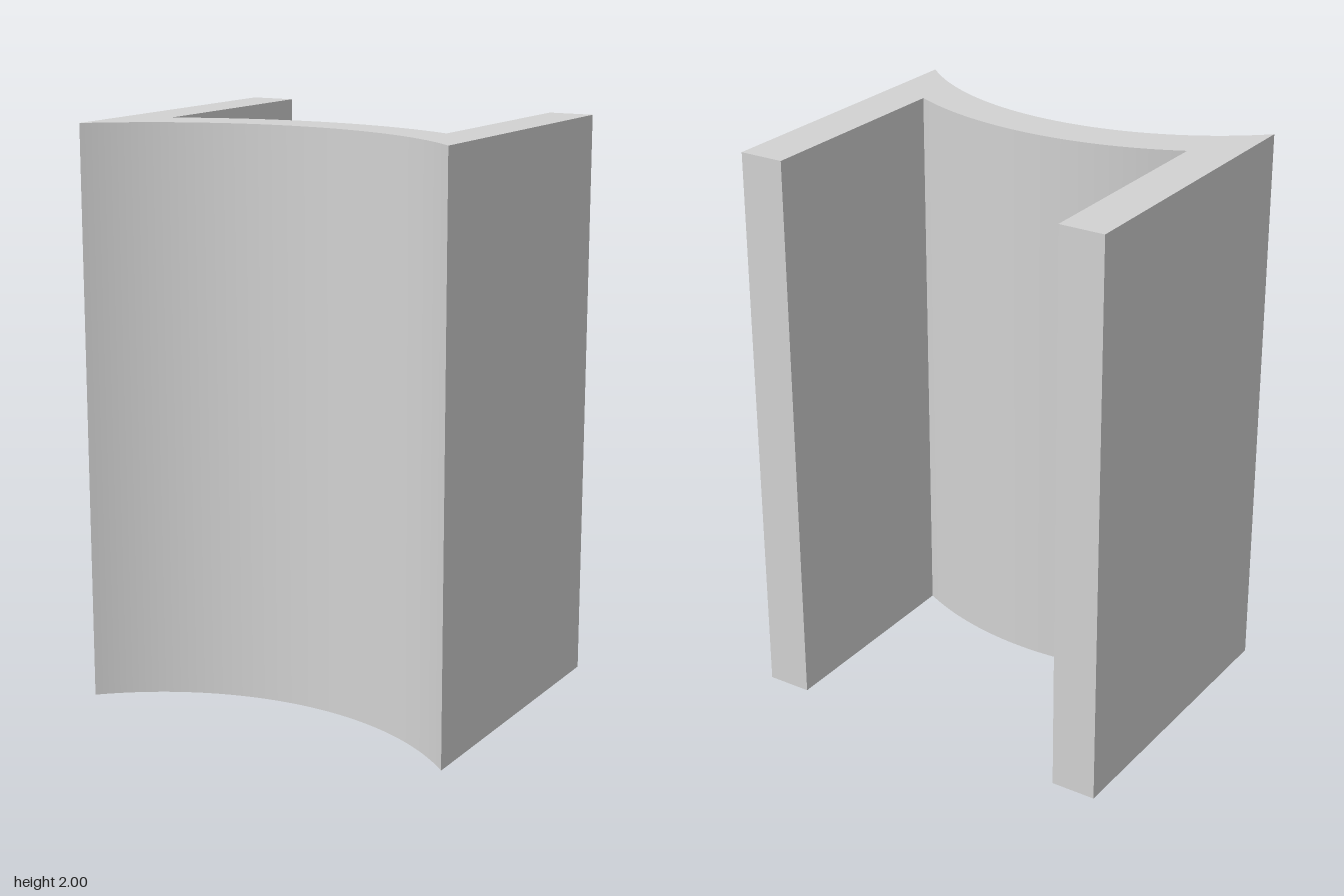
import * as THREE from 'three';
import { toCreasedNormals } from 'three/addons/utils/BufferGeometryUtils.js';

const HEIGHT = 2;
const HALF_WIDTH = 0.68;   // outer faces of the side walls
const INNER_HALF = 0.52;   // inner faces of the side walls
const BACK = 0.548;        // back edge; profile y points to the back
const ARC_CENTRE = -1.268; // shared centre of both arcs, in front of the model
const FRONT_RADIUS = 0.99;
const REAR_RADIUS = 1.149;

// Plan outline: two straight walls joined by a concave curved front
function channelProfile() {
  const a = Math.asin(HALF_WIDTH / FRONT_RADIUS);
  const b = Math.asin(INNER_HALF / REAR_RADIUS);
  const up = Math.PI / 2;
  const shape = new THREE.Shape();
  shape.moveTo(HALF_WIDTH, BACK);
  shape.lineTo(INNER_HALF, BACK);
  shape.absarc(0, ARC_CENTRE, REAR_RADIUS, up - b, up + b, false);
  shape.lineTo(-INNER_HALF, BACK);
  shape.lineTo(-HALF_WIDTH, BACK);
  shape.absarc(0, ARC_CENTRE, FRONT_RADIUS, up + a, up - a, true);
  shape.closePath();
  return shape;
}

export function createModel() {
  const grey = new THREE.MeshStandardMaterial({ color: 0xd2d2d2 });
  grey.name = 'light grey';

  // Extrude the outline upwards, smooth along the arcs and sharp at the corners
  const extruded = new THREE.ExtrudeGeometry(channelProfile(), {
    depth: HEIGHT, bevelEnabled: false, curveSegments: 32,
  });
  extruded.rotateX(-Math.PI / 2);
  const channel = new THREE.Mesh(toCreasedNormals(extruded, 0.3), grey);
  channel.name = 'curvedChannel';

  const group = new THREE.Group();
  group.name = 'channelBlock';
  group.add(channel);
  return group;
}
